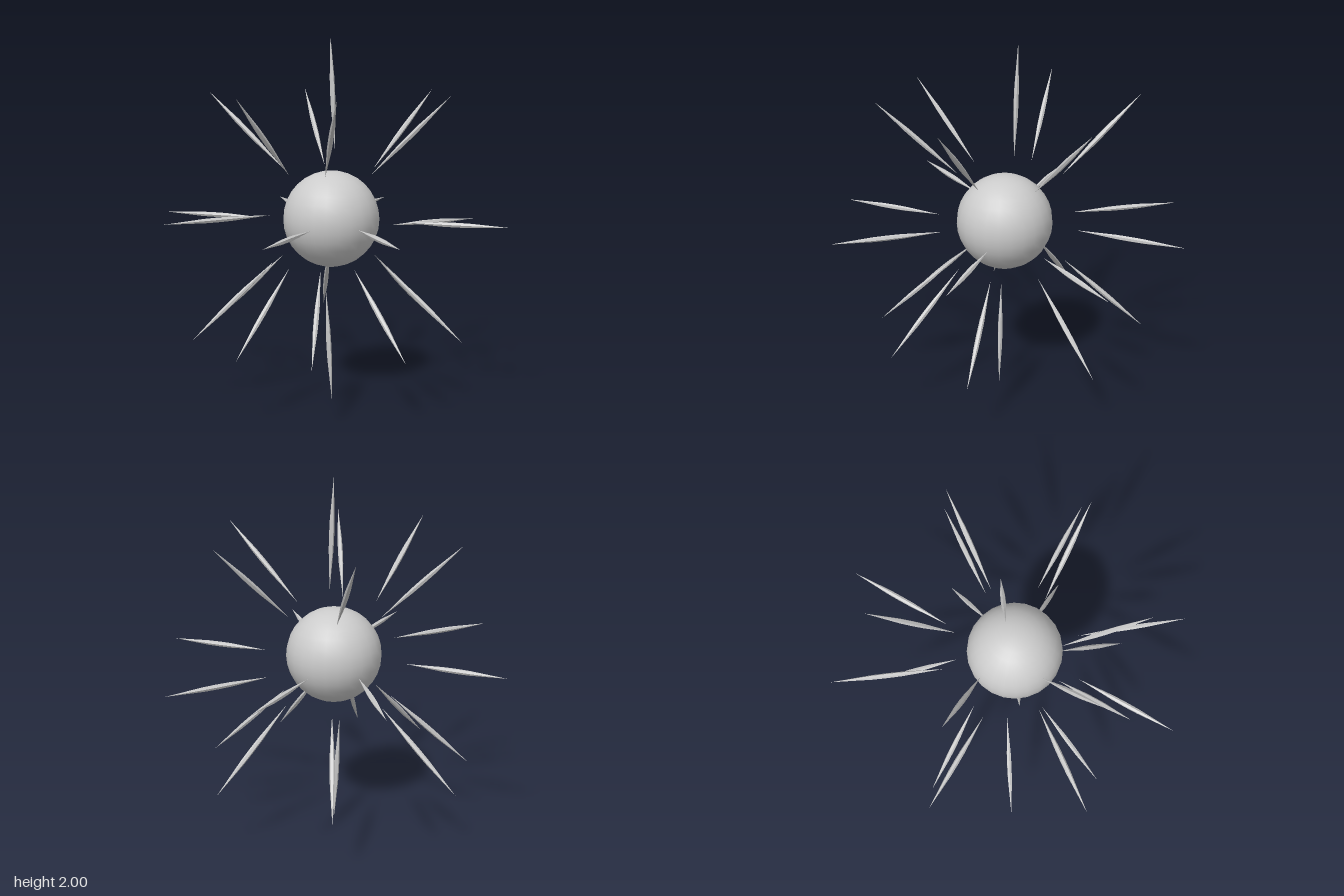
import * as THREE from 'three';

// Each spike: inner point, outer point
const SPIKES = [
  // along the axes
  [[0.01, 1.38, -0.045], [-0.02, 2.0, -0.055]],
  [[-0.01, 0.62, 0.04], [0.025, 0.0, 0.04]],
  [[0.04, 1.0, 0.39], [0.03, 1.0, 0.97]],
  [[-0.035, 1.0, -0.39], [-0.02, 1.0, -1.0]],
  [[-0.4, 1.0, 0.045], [-0.97, 1.0, 0.045]],
  [[0.4, 1.0, -0.06], [0.97, 1.0, -0.085]],
  // level diagonals
  [[-0.23, 1.055, 0.29], [-0.6, 1.055, 0.78]],
  [[0.25, 0.94, -0.31], [0.6, 0.93, -0.785]],
  [[-0.27, 1.0, -0.28], [-0.635, 1.0, -0.775]],
  [[0.26, 1.0, 0.27], [0.64, 1.0, 0.74]],
  // upper ring
  [[-0.285, 1.265, -0.03], [-0.72, 1.69, 0.015]],
  [[-0.135, 1.265, -0.265], [-0.4, 1.69, -0.615]],
  [[-0.135, 1.265, 0.25], [-0.25, 1.69, 0.655]],
  [[0.07, 1.265, 0.255], [0.28, 1.69, 0.64]],
  [[0.17, 1.265, -0.225], [0.39, 1.69, -0.61]],
  [[0.255, 1.265, 0.055], [0.69, 1.69, 0.075]],
  // lower ring
  [[-0.31, 0.775, -0.07], [-0.76, 0.355, -0.105]],
  [[-0.28, 0.775, 0.125], [-0.66, 0.355, 0.365]],
  [[-0.12, 0.775, -0.29], [-0.315, 0.355, -0.7]],
  [[-0.13, 0.775, 0.26], [-0.245, 0.355, 0.705]],
  [[0.05, 0.775, 0.27], [0.175, 0.355, 0.71]],
  [[0.17, 0.775, -0.25], [0.39, 0.355, -0.65]],
  [[0.21, 0.775, 0.195], [0.58, 0.355, 0.44]],
  [[0.29, 0.775, -0.025], [0.735, 0.355, -0.08]],
];

export function createModel() {
  const group = new THREE.Group();
  const smooth = new THREE.MeshStandardMaterial({ color: 0xcccccc });
  const faceted = new THREE.MeshStandardMaterial({ color: 0xcccccc, flatShading: true });

  // Central ball
  const core = new THREE.Mesh(new THREE.SphereGeometry(0.263, 24, 16), smooth);
  core.name = 'core';
  core.position.set(0.01, 1.01, 0.01);
  group.add(core);

  // Unit-length needle, pointed at both ends and thickest in the middle
  const profile = [[0, 0], [0.013, 0.37], [0.014, 0.5], [0.013, 0.63], [0, 1]]
    .map(([r, y]) => new THREE.Vector2(r, y));
  const needle = new THREE.LatheGeometry(profile, 6);

  const up = new THREE.Vector3(0, 1, 0);
  for (const [from, to] of SPIKES) {
    const start = new THREE.Vector3(...from);
    const dir = new THREE.Vector3(...to).sub(start);
    const spike = new THREE.Mesh(needle, faceted);
    spike.name = 'spike';
    spike.position.copy(start);
    spike.scale.y = dir.length();
    spike.quaternion.setFromUnitVectors(up, dir.normalize());
    group.add(spike);
  }
  return group;
}
